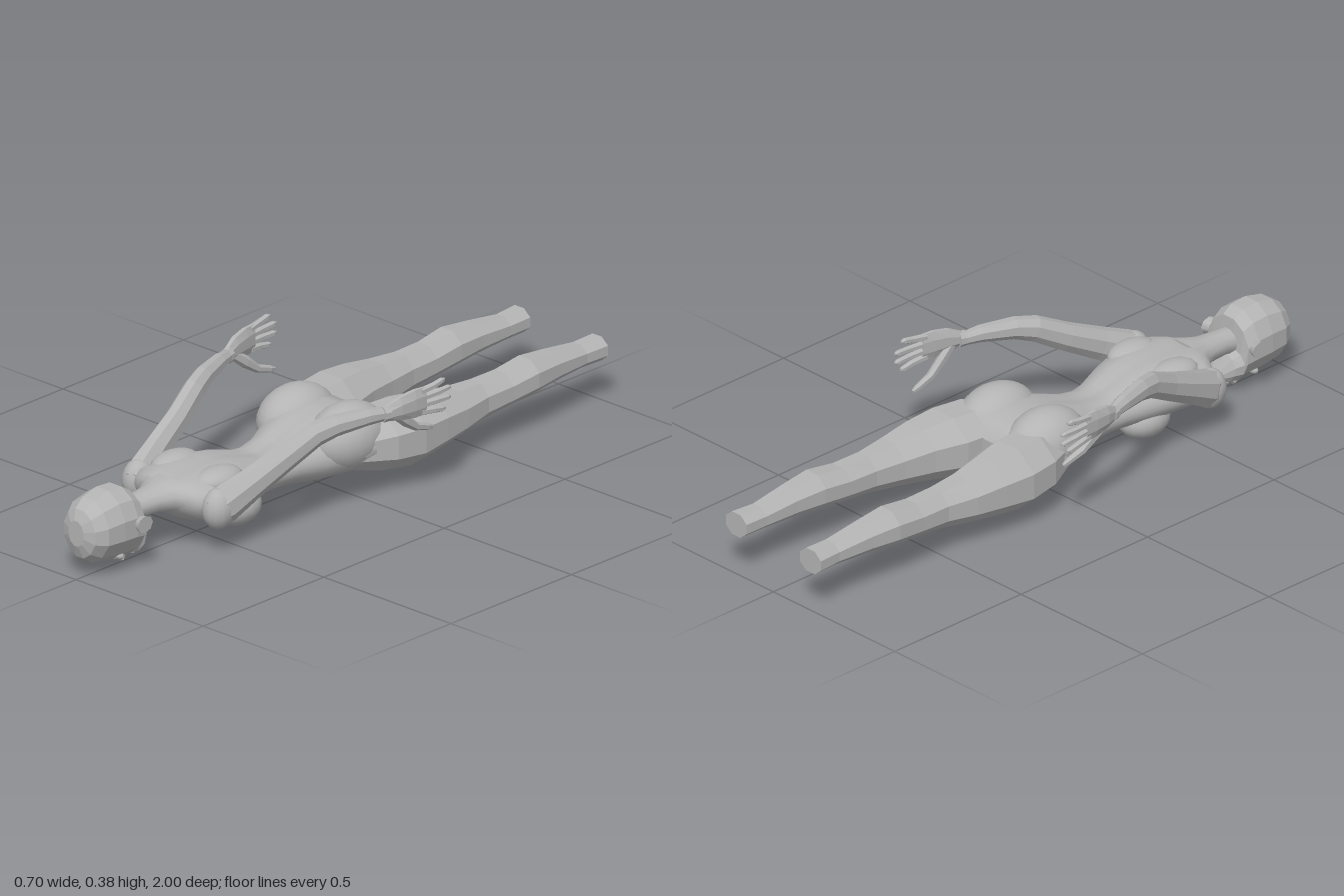
import * as THREE from 'three';

// Skin a list of oval sections [x, y, z, rx, ry] running from +z towards -z.
// upright keeps every ring in the xy plane; otherwise rings follow the path.
function loft(sections, { sides = 8, upright = false, flat = true, warp = null } = {}) {
  const pos = [], index = [], grow = sides < 12 ? 1 / Math.cos(Math.PI / sides) : 1;
  const centres = sections.map(s => new THREE.Vector3(s[0], s[1], s[2]));
  const last = sections.length - 1;
  sections.forEach(([, , , rx, ry], i) => {
    const n = new THREE.Vector3(0, 0, 1);
    if (!upright) n.subVectors(centres[Math.max(i - 1, 0)], centres[Math.min(i + 1, last)]).normalize();
    const side = new THREE.Vector3(0, 1, 0).cross(n).normalize();
    const up = n.clone().cross(side);
    for (let j = 0; j < sides; j++) {
      const a = (j + 0.5) / sides * Math.PI * 2;
      const p = centres[i].clone()
        .addScaledVector(side, Math.cos(a) * rx * grow)
        .addScaledVector(up, Math.sin(a) * ry * grow);
      if (warp) warp(p, a);
      pos.push(p.x, p.y, p.z);
    }
  });
  for (let i = 0; i < last; i++) {
    for (let j = 0; j < sides; j++) {
      const k = (j + 1) % sides, a = i * sides, b = a + sides;
      index.push(a + j, b + j, a + k, a + k, b + j, b + k);
    }
  }
  // End caps have their own vertices so their edges stay sharp
  for (const i of [0, last]) {
    const base = pos.length / 3;
    pos.push(...centres[i].toArray());
    pos.push(...pos.slice(i * sides * 3, (i + 1) * sides * 3));
    for (let j = 0; j < sides; j++) {
      const a = base + 1 + j, b = base + 1 + (j + 1) % sides;
      index.push(base, ...(i === 0 ? [a, b] : [b, a]));
    }
  }
  let g = new THREE.BufferGeometry();
  g.setAttribute('position', new THREE.Float32BufferAttribute(pos, 3));
  g.setIndex(index);
  if (flat) g = g.toNonIndexed();
  g.computeVertexNormals();
  return g;
}

// Sections given as [z, bottom, top, halfWidth, x]
const span = list => list.map(([z, lo, hi, rx, x = 0]) => [x, (lo + hi) / 2, z, rx, (hi - lo) / 2]);

export function createModel() {
  const root = new THREE.Group();
  root.name = 'lyingFigure';
  const clay = new THREE.MeshStandardMaterial({ color: 0xb4b4b4 });
  clay.name = 'greyClay';

  const add = (name, geometry, parent = root) => {
    const m = new THREE.Mesh(geometry, clay);
    m.name = name;
    parent.add(m);
    return m;
  };
  const blob = (name, x, y, z, rx, ry, rz, seg = 16) => {
    const m = add(name, new THREE.SphereGeometry(1, seg, Math.ceil(seg * 0.7)));
    m.position.set(x, y, z);
    m.scale.set(rx, ry, rz);
    return m;
  };

  // Torso with a shallow groove along the spine
  add('torso', loft(span([
    [0.655, 0.115, 0.198, 0.065], [0.625, 0.09, 0.205, 0.125], [0.59, 0.07, 0.21, 0.165],
    [0.52, 0.055, 0.215, 0.165], [0.45, 0.05, 0.215, 0.15], [0.38, 0.05, 0.205, 0.13],
    [0.3, 0.055, 0.182, 0.104], [0.25, 0.055, 0.176, 0.098], [0.18, 0.05, 0.19, 0.106],
    [0.1, 0.038, 0.218, 0.14], [0.02, 0.04, 0.238, 0.183], [-0.06, 0.045, 0.238, 0.205],
    [-0.12, 0.052, 0.22, 0.19], [-0.15, 0.075, 0.18, 0.13],
  ]), {
    sides: 28, upright: true, flat: false,
    warp: (p, a) => { if (Math.sin(a) > 0) p.y -= 0.012 * Math.exp(-((p.x / 0.025) ** 2)); },
  }));

  // Neck, flaring into the shoulders
  add('neck', loft(span([
    [0.84, 0.1, 0.185, 0.042], [0.76, 0.115, 0.188, 0.042], [0.7, 0.115, 0.192, 0.05],
    [0.66, 0.11, 0.2, 0.07], [0.62, 0.1, 0.205, 0.12],
  ]), { sides: 12, upright: true, flat: false }));

  // Head: broad at the back, narrowing towards the face below
  add('head', loft(span([
    [1, 0.1, 0.18, 0.03], [0.985, 0.06, 0.212, 0.064], [0.95, 0.036, 0.236, 0.086],
    [0.89, 0.026, 0.25, 0.093], [0.835, 0.024, 0.246, 0.093], [0.8, 0.022, 0.225, 0.086],
    [0.792, 0.022, 0.14, 0.082], [0.77, 0.024, 0.125, 0.066], [0.743, 0.032, 0.075, 0.03],
  ]), {
    sides: 12, upright: true,
    warp: p => { if (p.y < 0.11) p.x *= 1 - (0.11 - p.y) * 2.2; },
  }));

  // Nose and lips
  add('nose', loft([
    [0, 0.034, 0.875, 0.006, 0.008], [0, 0.02, 0.835, 0.009, 0.01],
    [0, 0.014, 0.815, 0.013, 0.014], [0, 0.024, 0.802, 0.008, 0.006],
  ], { sides: 6, upright: true }));
  blob('lips', 0, 0.023, 0.78, 0.022, 0.008, 0.008, 8);

  for (const s of [1, -1]) {
    const n = s > 0 ? 'left' : 'right';

    // Eye and ear
    blob(n + 'Eye', s * 0.036, 0.042, 0.862, 0.02, 0.012, 0.012, 8);
    const ear = add(n + 'Ear', new THREE.CylinderGeometry(0.026, 0.02, 0.022, 8));
    ear.rotation.z = -s * Math.PI / 2;
    ear.scale.z = 1.2;
    ear.position.set(s * 0.096, 0.146, 0.825);

    // Chest, shoulder blade and buttock
    blob(n + 'Breast', s * 0.062, 0.068, 0.405, 0.068, 0.058, 0.085, 18);
    blob(n + 'ShoulderBlade', s * 0.085, 0.185, 0.5, 0.055, 0.035, 0.085);
    blob(n + 'Buttock', s * 0.1, 0.165, -0.02, 0.097, 0.1, 0.135, 20);

    // Leg, ending in a flat cut above the foot
    add(n + 'Leg', loft(span([
      [0.02, 0.075, 0.2, 0.07, s * 0.1], [-0.1, 0.05, 0.225, 0.105, s * 0.122],
      [-0.2, 0.04, 0.228, 0.106, s * 0.135], [-0.3, 0.055, 0.22, 0.087, s * 0.146],
      [-0.4, 0.07, 0.206, 0.07, s * 0.15], [-0.5, 0.085, 0.2, 0.054, s * 0.148],
      [-0.6, 0.096, 0.2, 0.055, s * 0.15], [-0.7, 0.105, 0.214, 0.058, s * 0.153],
      [-0.8, 0.114, 0.205, 0.048, s * 0.152], [-0.92, 0.12, 0.19, 0.04, s * 0.15],
      [-1, 0.12, 0.193, 0.043, s * 0.153],
    ]), { upright: true }));

    // Arm, raised behind the back
    blob(n + 'Shoulder', s * 0.157, 0.135, 0.575, 0.046, 0.062, 0.052, 14);
    add(n + 'Arm', loft([
      [s * 0.15, 0.125, 0.6, 0.036, 0.045], [s * 0.165, 0.145, 0.555, 0.04, 0.054],
      [s * 0.186, 0.187, 0.47, 0.034, 0.046], [s * 0.21, 0.24, 0.36, 0.031, 0.04],
      [s * 0.238, 0.293, 0.26, 0.029, 0.036], [s * 0.26, 0.308, 0.2, 0.027, 0.031],
      [s * 0.293, 0.314, 0.1, 0.022, 0.024], [s * 0.312, 0.31, 0.035, 0.015, 0.018],
    ]));

    // Hand: cuff, palm, four fingers and thumb
    const hand = new THREE.Group();
    hand.name = n + 'Hand';
    root.add(hand);
    add('wrist', loft([[s * 0.309, 0.311, 0.055, 0.019, 0.022], [s * 0.314, 0.311, 0.033, 0.019, 0.022]]), hand);
    add('palm', loft([
      [s * 0.314, 0.311, 0.045, 0.013, 0.021], [s * 0.325, 0.318, 0, 0.016, 0.035],
      [s * 0.333, 0.32, -0.05, 0.014, 0.042], [s * 0.338, 0.32, -0.09, 0.01, 0.042],
    ]), hand);
    const tips = [[0.364, -0.165], [0.334, -0.19], [0.305, -0.19], [0.276, -0.168]];
    tips.forEach(([y, z], i) => {
      const y0 = 0.351 - i * 0.021;
      add('finger' + (i + 1), loft([
        [s * 0.336, y0, -0.075, 0.01, 0.01], [s * 0.342, (y + y0) / 2, (z - 0.08) / 2, 0.009, 0.009],
        [s * 0.343, y, z + 0.012, 0.008, 0.008], [s * 0.343, y, z, 0.004, 0.004],
      ], { sides: 6 }), hand);
    });
    add('thumb', loft([
      [s * 0.32, 0.305, 0.015, 0.01, 0.014], [s * 0.315, 0.268, -0.035, 0.012, 0.016],
      [s * 0.312, 0.235, -0.08, 0.011, 0.011], [s * 0.31, 0.219, -0.13, 0.009, 0.009],
      [s * 0.31, 0.212, -0.152, 0.004, 0.005],
    ], { sides: 6 }), hand);
  }
  return root;
}
